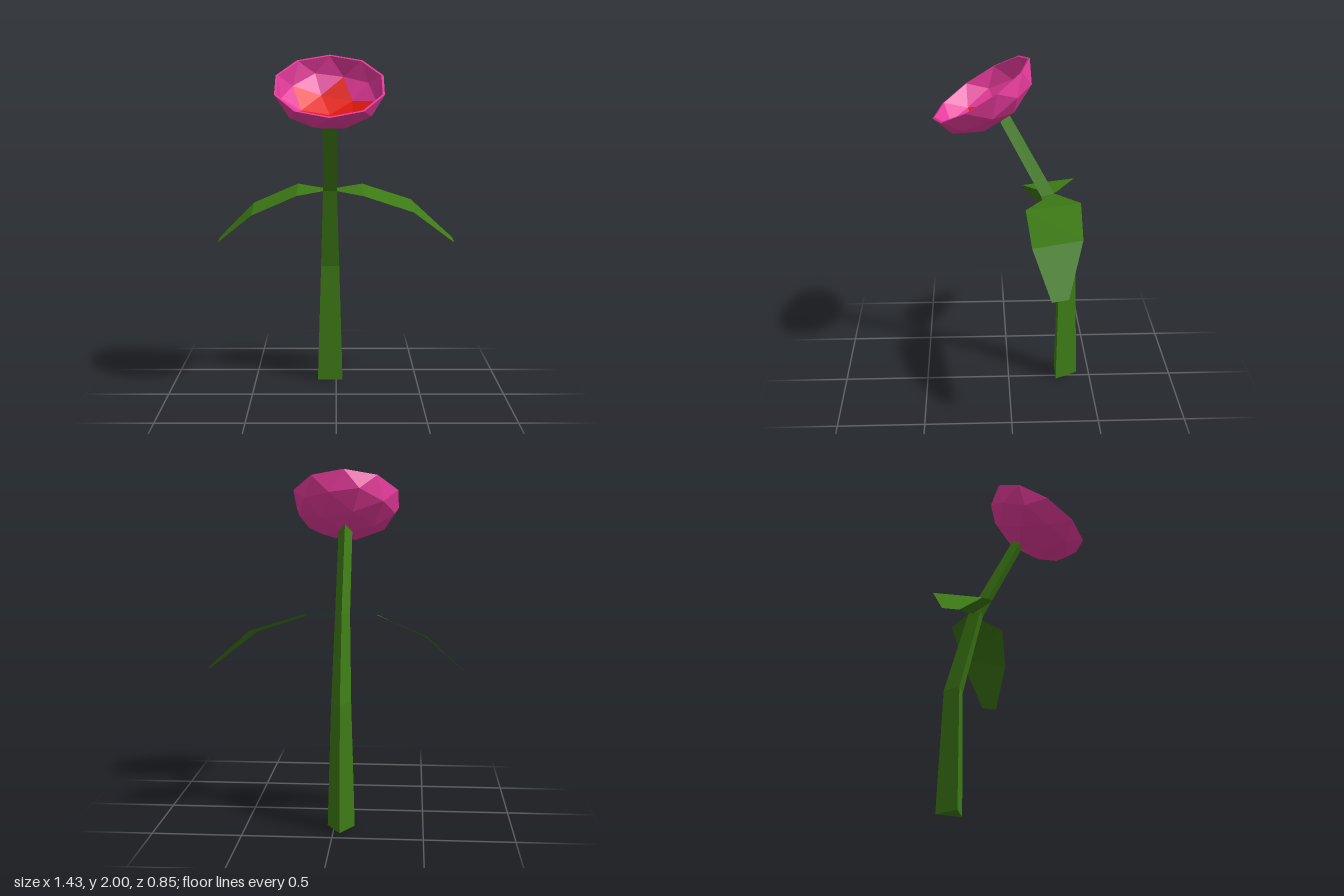
import * as THREE from 'three';

const CX = -0.037; // the plant's own middle line

const paint = (color, side = THREE.FrontSide) =>
  new THREE.MeshStandardMaterial({ color, flatShading: true, side });
const green = paint(0x3d7a15);
const leafGreen = paint(0x3d7a15, THREE.DoubleSide);
const pink = paint(0xe63a9b);
const red = paint(0xe6190f);

// Mesh from a list of triangles, each three [x, y, z] corners
function facets(name, tris, material) {
  const g = new THREE.BufferGeometry();
  g.setAttribute('position', new THREE.Float32BufferAttribute(tris.flat(2), 3));
  g.computeVertexNormals();
  const mesh = new THREE.Mesh(g, material);
  mesh.name = name;
  return mesh;
}

const quad = (a, b, c, d) => [[a, b, c], [a, c, d]];

// Three-sided stem: flat face forward, ridge at the back
function makeStem() {
  // half width, front y, front z, back y, back z
  const rings = [
    [0.077, 0, -0.29, 0, -0.425],
    [0.056, 0.72, -0.3, 0.72, -0.4],
    [0.042, 1.2, -0.187, 1.2, -0.267],
    [0.04, 1.645, 0.045, 1.69, 0],
  ].map(([w, fy, fz, by, bz]) => [[CX - w, fy, fz], [CX + w, fy, fz], [CX, by, bz]]);
  const tris = [];
  for (let i = 0; i < rings.length - 1; i++) {
    const lo = rings[i], hi = rings[i + 1];
    for (let k = 0; k < 3; k++) {
      const n = (k + 1) % 3;
      tris.push(...quad(lo[k], lo[n], hi[n], hi[k]));
    }
  }
  tris.push([...rings[0]].reverse(), rings[rings.length - 1]);
  return facets('stem', tris, green);
}

// Thin leaf from cross strips: x, front y, front z, back y, back z
function makeLeaf(name, strips) {
  const tris = [];
  for (let i = 0; i < strips.length - 1; i++) {
    const [x0, fy0, fz0, by0, bz0] = strips[i];
    const [x1, fy1, fz1, by1, bz1] = strips[i + 1];
    const q = [[x0, fy0, fz0], [x1, fy1, fz1], [x1, by1, bz1], [x0, by0, bz0]];
    if (x1 < x0) q.reverse();
    tris.push(...quad(...q));
  }
  return facets(name, tris, leafGreen);
}

// Half an icosphere (one subdivision), flattened, pole along local +z
function bowlFaces(radius, depth) {
  const at = (deg, r, h) => {
    const a = THREE.MathUtils.degToRad(deg);
    return [Math.cos(a) * r * radius, Math.sin(a) * r * radius, h * depth];
  };
  const heart = [], wall = [], rim = [];
  for (let k = 0; k < 5; k++) {
    const t = 72 * k;
    const pole = [0, 0, depth];
    const m0 = at(t + 36, 0.526, 0.851), m1 = at(t + 108, 0.526, 0.851);
    const v0 = at(t + 36, 0.894, 0.447), v1 = at(t + 108, 0.894, 0.447);
    const e = at(t + 72, 0.851, 0.526);
    const a = at(t + 18, 1, 0), b = at(t + 54, 1, 0), c = at(t + 90, 1, 0);
    heart.push([pole, m0, m1], [m0, e, m1]);
    wall.push([m0, v0, e], [m1, e, v1], [v0, a, b], [v0, b, e], [e, b, c], [e, c, v1]);
    rim.push(a, b);
  }
  return { heart, wall, rim };
}

function makeBlossom() {
  const group = new THREE.Group();
  group.name = 'blossom';
  const outer = bowlFaces(0.319, 0.212);
  const inner = bowlFaces(0.306, 0.2);
  const flip = (tris) => tris.map((t) => [...t].reverse());
  const lip = [];
  for (let i = 0; i < 10; i++) {
    const n = (i + 1) % 10;
    lip.push(...quad(outer.rim[i], inner.rim[i], inner.rim[n], outer.rim[n]));
  }
  group.add(
    facets('petalsOuter', [...outer.heart, ...outer.wall], pink),
    facets('petalsInner', flip(inner.wall), pink),
    facets('petalRim', lip, pink),
    facets('starHeart', flip(inner.heart), red),
  );
  // Opening tilts up and forward
  const basis = new THREE.Matrix4().makeBasis(
    new THREE.Vector3(1, 0, 0),
    new THREE.Vector3(0, -0.533, 0.846).normalize(),
    new THREE.Vector3(0, -0.846, -0.533).normalize(),
  );
  group.quaternion.setFromRotationMatrix(basis);
  group.position.set(CX, 1.83, 0.153);
  return group;
}

export function createModel() {
  const flower = new THREE.Group();
  flower.name = 'flower';
  flower.add(
    makeStem(),
    makeLeaf('leftLeaf', [
      [-0.025, 1.197, -0.24, 1.203, -0.275],
      [0.16, 1.18, -0.09, 1.22, -0.4],
      [0.46, 1.08, -0.11, 1.125, -0.385],
      [0.712, 0.885, -0.2, 0.9, -0.29],
    ]),
    makeLeaf('rightLeaf', [
      [-0.05, 1.197, -0.24, 1.203, -0.275],
      [-0.235, 1.18, -0.09, 1.22, -0.4],
      [-0.505, 1.06, -0.11, 1.105, -0.385],
      [-0.714, 0.885, -0.2, 0.9, -0.29],
    ]),
    makeBlossom(),
  );
  return flower;
}
